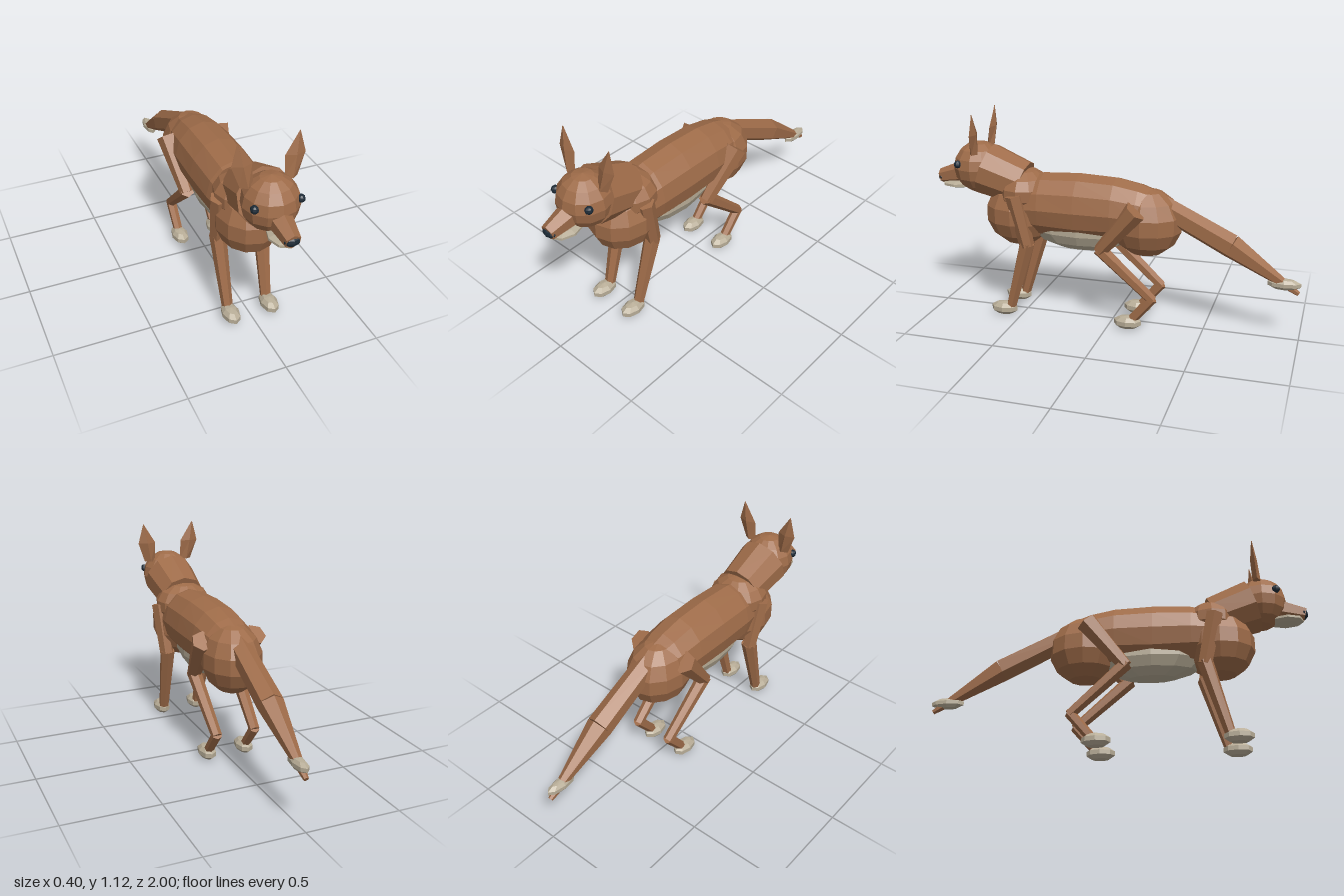
import * as THREE from 'three';

const material = (name, color) => {
  const m = new THREE.MeshStandardMaterial({ color, flatShading: true });
  m.name = name;
  return m;
};

export function createModel() {
  const fur = material('brown fur', 0x9f6c49);
  const cream = material('cream fur', 0xb8ad97);
  const dark = material('dark nose and eyes', 0x1c2a36);
  const model = new THREE.Group();
  model.name = 'fox';

  const add = (name, geometry, mat, parent = model) => {
    const mesh = new THREE.Mesh(geometry, mat);
    mesh.name = name;
    parent.add(mesh);
    return mesh;
  };

  // Faceted ellipsoid
  const ball = (name, pos, radii, mat = fur, w = 12, h = 7, parent = model) => {
    const mesh = add(name, new THREE.SphereGeometry(1, w, h), mat, parent);
    mesh.scale.set(...radii);
    mesh.position.set(...pos);
    return mesh;
  };

  // Tapered prism from point a (radius ra) to point b (radius rb)
  const limb = (name, a, b, ra, rb, sides = 6, parent = model) => {
    const from = new THREE.Vector3(...a);
    const to = new THREE.Vector3(...b);
    const dir = to.clone().sub(from);
    const mesh = add(name, new THREE.CylinderGeometry(rb, ra, dir.length(), sides), fur, parent);
    mesh.position.copy(from).add(to).multiplyScalar(0.5);
    mesh.quaternion.setFromUnitVectors(new THREE.Vector3(0, 1, 0), dir.normalize());
    return mesh;
  };

  // Loft along y through rings of [y, centreX, centreZ, radiusX, radiusZ], top first
  const loft = (rings, sides) => {
    const n = rings.length - 1;
    const g = new THREE.CylinderGeometry(1, 1, 1, sides, n);
    const p = g.attributes.position;
    for (let i = 0; i < p.count; i++) {
      const [y, cx, cz, rx, rz] = rings[Math.round((0.5 - p.getY(i)) * n)];
      p.setXYZ(i, cx + p.getX(i) * rx, y, cz + p.getZ(i) * rz);
    }
    g.computeVertexNormals();
    return g;
  };

  // Body: long torso with rounded chest, shoulders, rump and pale belly
  const torso = loft([
    [0.66, 0, -0.61, 0.08, 0.07], [0.55, 0, -0.62, 0.13, 0.14],
    [0.38, 0, -0.63, 0.152, 0.172], [0.18, 0, -0.63, 0.157, 0.182],
    [-0.02, 0, -0.63, 0.155, 0.173], [-0.15, 0, -0.62, 0.145, 0.157],
    [-0.27, 0, -0.61, 0.11, 0.125], [-0.34, 0, -0.6, 0.06, 0.07],
  ], 12);
  torso.rotateX(Math.PI / 2);
  add('torso', torso, fur);
  ball('chest', [0, 0.575, 0.525], [0.165, 0.185, 0.19]);
  ball('rump', [0, 0.575, -0.18], [0.157, 0.185, 0.195]);
  ball('belly', [0, 0.52, 0.17], [0.125, 0.13, 0.3], cream);
  ball('shoulders', [0, 0.695, 0.49], [0.16, 0.125, 0.145]);

  // Neck and head
  limb('neck', [0, 0.73, 0.5], [0, 0.8, 0.71], 0.125, 0.145, 10);
  ball('head', [0, 0.81, 0.755], [0.14, 0.14, 0.138], fur, 12, 8);
  limb('muzzle', [0, 0.775, 0.84], [0, 0.74, 0.985], 0.062, 0.04);
  ball('jaw', [0, 0.705, 0.885], [0.072, 0.02, 0.095], cream, 8, 5);
  ball('nose', [0, 0.74, 0.975], [0.04, 0.027, 0.025], dark, 8, 6);

  for (const side of [1, -1]) {
    const label = side > 0 ? 'left' : 'right';
    const part = (name) => {
      const g = new THREE.Group();
      g.name = label + name;
      model.add(g);
      return g;
    };

    ball(label + 'Eye', [side * 0.114, 0.84, 0.83], [0.02, 0.021, 0.022], dark, 8, 6);
    add(label + 'Ear', loft([
      [1.12, side * 0.15, 0.72, 0.002, 0.002],
      [1.01, side * 0.13, 0.725, 0.051, 0.018],
      [0.9, side * 0.11, 0.735, 0.032, 0.021],
    ], 4), fur);

    // Front leg
    const front = part('FrontLeg');
    limb('upperLeg', [side * 0.135, 0.7, 0.505], [side * 0.12, 0.42, 0.445], 0.048, 0.04, 6, front);
    limb('lowerLeg', [side * 0.117, 0.44, 0.445], [side * 0.107, 0.05, 0.555], 0.043, 0.028, 6, front);
    ball('paw', [side * 0.107, 0.04, 0.595], [0.046, 0.038, 0.078], cream, 8, 5, front);

    // Hind leg
    const hind = part('HindLeg');
    limb('thigh', [side * 0.145, 0.675, -0.16], [side * 0.118, 0.43, 0.04], 0.06, 0.037, 6, hind);
    limb('shin', [side * 0.118, 0.445, 0.045], [side * 0.107, 0.18, -0.245], 0.038, 0.028, 6, hind);
    limb('hock', [side * 0.107, 0.19, -0.245], [side * 0.107, 0.045, -0.125], 0.028, 0.025, 6, hind);
    ball('paw', [side * 0.107, 0.04, -0.11], [0.046, 0.038, 0.078], cream, 8, 5, hind);
  }

  // Tail with pale tuft
  limb('tailBase', [0, 0.675, -0.25], [0, 0.485, -0.63], 0.06, 0.066);
  limb('tailEnd', [0, 0.485, -0.63], [0, 0.26, -0.985], 0.066, 0.013);
  ball('tailTuft', [0, 0.305, -0.91], [0.033, 0.031, 0.09], cream, 8, 5);

  return model;
}
